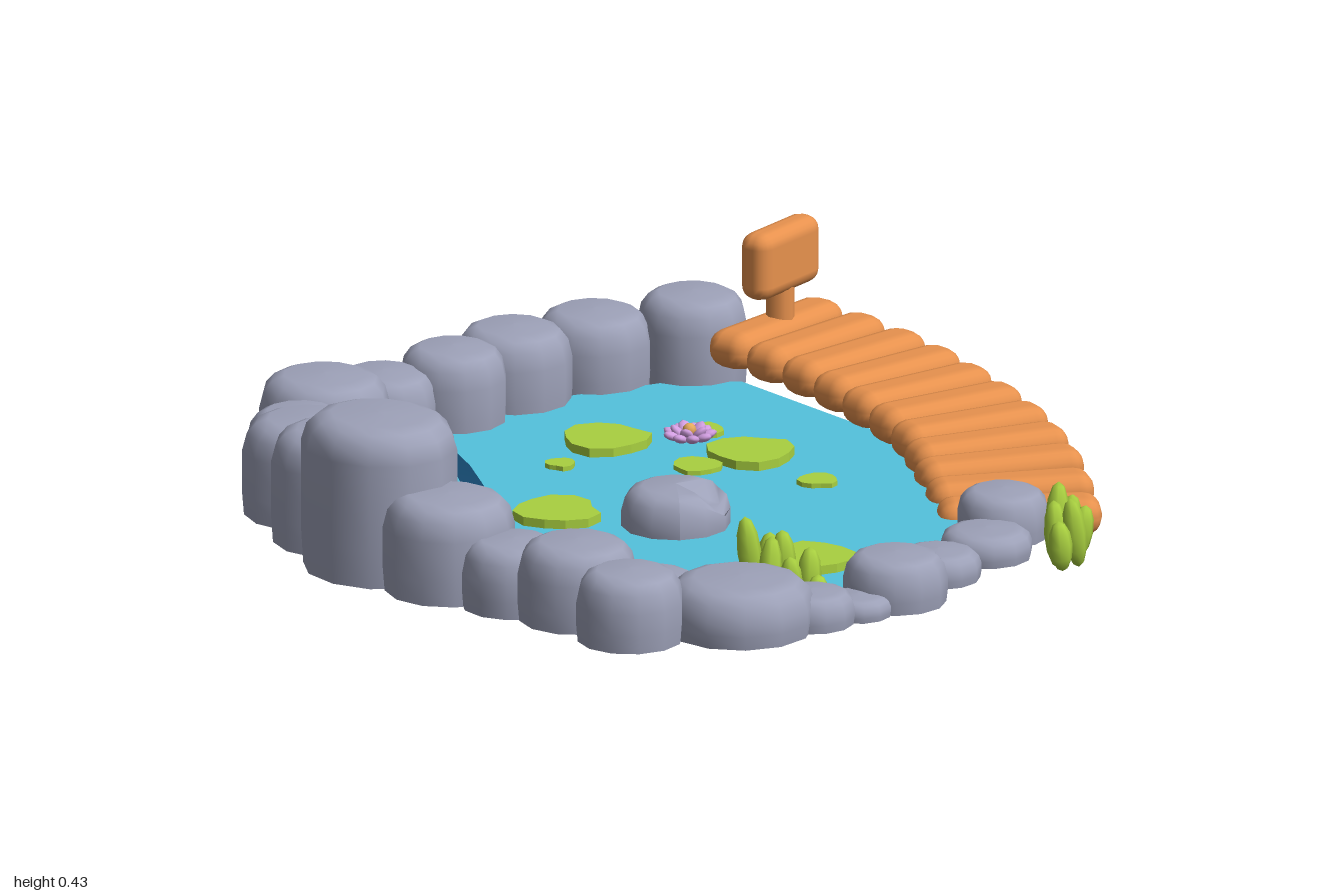
import * as THREE from 'three';
import { RoundedBoxGeometry } from 'three/addons/geometries/RoundedBoxGeometry.js';

const mat = (name, color, side = THREE.FrontSide) => {
  const m = new THREE.MeshStandardMaterial({ color, side });
  m.name = name;
  return m;
};

export function createModel() {
  const model = new THREE.Group();
  model.name = 'gardenPond';
  const stone = mat('stone grey', 0x9da1b8, THREE.DoubleSide);
  const wood = mat('orange wood', 0xe8924e);
  const water = mat('pond water', 0x53c2dd);
  const fall = mat('falling water', 0x359ae4, THREE.DoubleSide);
  const leaf = mat('leaf green', 0xa9d040);
  const pink = mat('petal lilac', 0xd39fe2);
  const gold = mat('flower gold', 0xeeb060);

  const add = (name, geo, material, x = 0, y = 0, z = 0, parent = model) => {
    const mesh = new THREE.Mesh(geo, material);
    mesh.name = name;
    mesh.position.set(x, y, z);
    parent.add(mesh);
    return mesh;
  };

  // Flat-topped round stone: straight wall, bevelled shoulder; mostly open below
  const base = 0.052;
  const rock = (name, x, z, rx, rz, top, closed = false) => {
    const h = top - base, b = Math.min(0.075, h * 0.5);
    const profile = [[0.97, 0], [1, h * 0.25], [1, h - b], [0.93, h - b * 0.45], [0.8, h - b * 0.15], [0.62, h], [0, h + 0.003]];
    if (closed) profile.unshift([0, 0], [0.96, 0]);
    const geo = new THREE.LatheGeometry(profile.map(([r, y]) => new THREE.Vector2(r, y)), 12);
    geo.rotateY(x * 7 + z * 3);
    geo.scale(rx, 1, rz);
    return add(name, geo, stone, x, base, z);
  };

  // Ring of border stones: x, z, radius, top height, closed bottom
  const ring = [
    [-0.4, -0.81, 0.152, 0.26, 1], [-0.2, -0.84, 0.125, 0.22], [-0.016, -0.81, 0.125, 0.25],
    [0.19, -0.84, 0.135, 0.25], [0.43, -0.84, 0.135, 0.24], [0.64, -0.74, 0.128, 0.265],
    [-0.58, -0.68, 0.125, 0.24], [-0.68, -0.53, 0.155, 0.28, 1], [-0.76, -0.33, 0.157, 0.32],
    [-0.81, 0.12, 0.152, 0.28], [-0.775, 0.31, 0.125, 0.21], [-0.73, 0.48, 0.138, 0.24, 1],
    [-0.58, 0.56, 0.12, 0.15], [-0.74, 0.68, 0.125, 0.22], [-0.5, 0.785, 0.172, 0.18],
    [-0.34, 0.85, 0.1, 0.13], [-0.22, 0.87, 0.08, 0.1], [-0.09, 0.85, 0.12, 0.17],
    [0.1, 0.775, 0.1, 0.12], [0.29, 0.72, 0.107, 0.12], [0.42, 0.625, 0.107, 0.165],
  ];
  ring.forEach(([x, z, r, top, closed]) => rock('borderStone', x, z, r, r, top, !!closed));
  rock('waterfallBoulder', -0.825, -0.11, 0.173, 0.19, 0.42);

  // Island stone with a chipped shoulder
  const island = rock('islandStone', -0.145, 0.135, 0.127, 0.124, 0.17).geometry;
  const ip = island.attributes.position;
  for (let i = 0; i < ip.count; i++) {
    const near = Math.hypot(ip.getX(i) - 0.055, ip.getZ(i) - 0.08) < 0.04;
    if (near && ip.getY(i) > 0.08) ip.setY(i, ip.getY(i) - 0.04);
  }
  island.computeVertexNormals();

  // Flat plate from an outline in x and z
  const plate = (outline, depth) => {
    const shape = new THREE.Shape(outline.map(([x, z]) => new THREE.Vector2(x, -z)));
    return new THREE.ExtrudeGeometry(shape, { depth, bevelEnabled: false }).rotateX(-Math.PI / 2);
  };

  // Pond surface
  add('pondWater', plate([
    [-0.55, -0.7], [-0.2, -0.75], [0.3, -0.77], [0.56, -0.7], [0.67, -0.6], [0.66, 0.08], [0.48, 0.42], [0.32, 0.7],
    [-0.1, 0.83], [-0.4, 0.82], [-0.62, 0.55], [-0.7, 0.1], [-0.7, -0.35],
  ], 0.018), water, 0, 0.057, 0);

  // Lily pads: x, z, radius
  [
    [0.125, -0.435, 0.1], [-0.065, -0.37, 0.035], [0.35, -0.36, 0.05], [-0.5, -0.355, 0.056],
    [-0.57, -0.2, 0.033], [-0.315, -0.08, 0.1], [0.165, -0.16, 0.057], [0.315, -0.145, 0.1],
    [0.305, 0.105, 0.046], [-0.1, 0.56, 0.1],
  ].forEach(([x, z, r], k) => {
    const outline = [];
    for (let i = 0; i < 12; i++) {
      const a = (i / 12) * Math.PI * 2;
      const s = r * (1 + 0.08 * Math.sin(a * 3 + k * 2) - (i === (k * 5) % 12 ? 0.15 : 0));
      outline.push([Math.cos(a) * s, Math.sin(a) * s]);
    }
    add('lilyPad', plate(outline, r > 0.08 ? 0.022 : 0.012), leaf, x, 0.074, z);
  });

  // Lily flower: two rings of petals round a golden heart
  const flower = new THREE.Group();
  flower.name = 'lilyFlower';
  flower.position.set(0.228, 0.105, -0.26);
  model.add(flower);
  [[9, 0.042, 0.35], [5, 0.027, 0.8]].forEach(([n, reach, tilt]) => {
    for (let i = 0; i < n; i++) {
      const arm = new THREE.Group();
      arm.rotation.y = (i / n) * Math.PI * 2;
      flower.add(arm);
      const petal = add('petal', new THREE.SphereGeometry(1, 8, 6), pink, reach, reach * tilt, 0, arm);
      petal.scale.set(0.022, 0.01, 0.016);
      petal.rotation.z = tilt;
    }
  });
  add('flowerHeart', new THREE.SphereGeometry(0.016, 8, 6), gold, 0, 0.026, 0, flower);

  // Spout set into the boulder; a thin stream follows a falling arc, widening downward
  const spout = add('waterSpout', new THREE.TorusGeometry(0.038, 0.01, 6, 14), stone, -0.66, 0.325, -0.09);
  spout.rotation.y = Math.PI / 2;
  const stream = new THREE.PlaneGeometry(1, 1, 8, 1);
  const arc = new THREE.CatmullRomCurve3([
    [-0.7, 0.315], [-0.64, 0.3], [-0.575, 0.22], [-0.52, 0.13], [-0.45, 0.025],
  ].map(([x, y]) => new THREE.Vector3(x, y, 0)));
  const p = stream.attributes.position;
  for (let i = 0; i < p.count; i++) {
    const t = p.getX(i) + 0.5, c = arc.getPoint(t);
    p.setXYZ(i, c.x, c.y, -0.09 - p.getY(i) * (0.065 + 0.055 * t));
  }
  stream.computeVertexNormals();
  add('waterfall', stream, fall);

  // Bridge planks run between an inner and an outer curve, climbing to the back
  const curve = (pts) => new THREE.CatmullRomCurve3(pts.map(([x, y, z]) => new THREE.Vector3(x, y, z)));
  const inner = curve([[0.57, 0.175, -0.55], [0.6, 0.155, -0.335], [0.6, 0.132, -0.13], [0.57, 0.108, 0.07], [0.48, 0.083, 0.25], [0.365, 0.063, 0.455]]);
  const outer = curve([[0.955, 0.175, -0.625], [0.99, 0.155, -0.365], [0.985, 0.132, -0.115], [0.945, 0.108, 0.14], [0.85, 0.083, 0.39], [0.68, 0.063, 0.665]]);
  const bridge = new THREE.Group();
  bridge.name = 'bridge';
  model.add(bridge);
  for (let i = 0; i <= 10; i++) {
    const a = inner.getPoint(i / 10), b = outer.getPoint(i / 10), m = a.clone().lerp(b, 0.5);
    const plank = add('plank', new RoundedBoxGeometry(a.distanceTo(b), 0.09, 0.118, 2, 0.042), wood, m.x, m.y, m.z, bridge);
    plank.rotation.y = Math.atan2(a.z - b.z, b.x - a.x);
  }

  // Signpost on the top plank
  const sign = new THREE.Group();
  sign.name = 'signpost';
  sign.position.set(0.77, 0, -0.582);
  sign.rotation.y = 0.26;
  model.add(sign);
  add('signBoard', new RoundedBoxGeometry(0.238, 0.16, 0.08, 2, 0.034), wood, 0, 0.358, 0, sign);
  add('signPole', new THREE.CylinderGeometry(0.033, 0.033, 0.15, 10), wood, 0, 0.24, 0, sign);

  // Reed clumps: x, z, centre height, half length of each blade
  [
    [-0.35, 0.64, 0.17, 0.09], [-0.295, 0.64, 0.14, 0.07], [-0.33, 0.69, 0.13, 0.085], [-0.28, 0.68, 0.15, 0.07],
    [-0.31, 0.74, 0.11, 0.07], [-0.25, 0.735, 0.12, 0.065], [-0.26, 0.775, 0.08, 0.05], [-0.36, 0.67, 0.07, 0.055],
    [0.42, 0.83, 0.075, 0.06], [0.46, 0.77, 0.12, 0.085], [0.51, 0.755, 0.095, 0.07],
    [0.47, 0.82, 0.095, 0.085], [0.44, 0.79, 0.09, 0.08], [0.515, 0.79, 0.08, 0.065],
  ].forEach(([x, z, y, h], i) => {
    const blade = add('reedBlade', new THREE.SphereGeometry(1, 7, 6), leaf, x, y, z);
    blade.scale.set(0.029, h, 0.027);
    blade.rotation.set(0.12 * Math.sin(i * 2), 0, 0.15 * Math.cos(i * 1.7));
  });
  return model;
}
